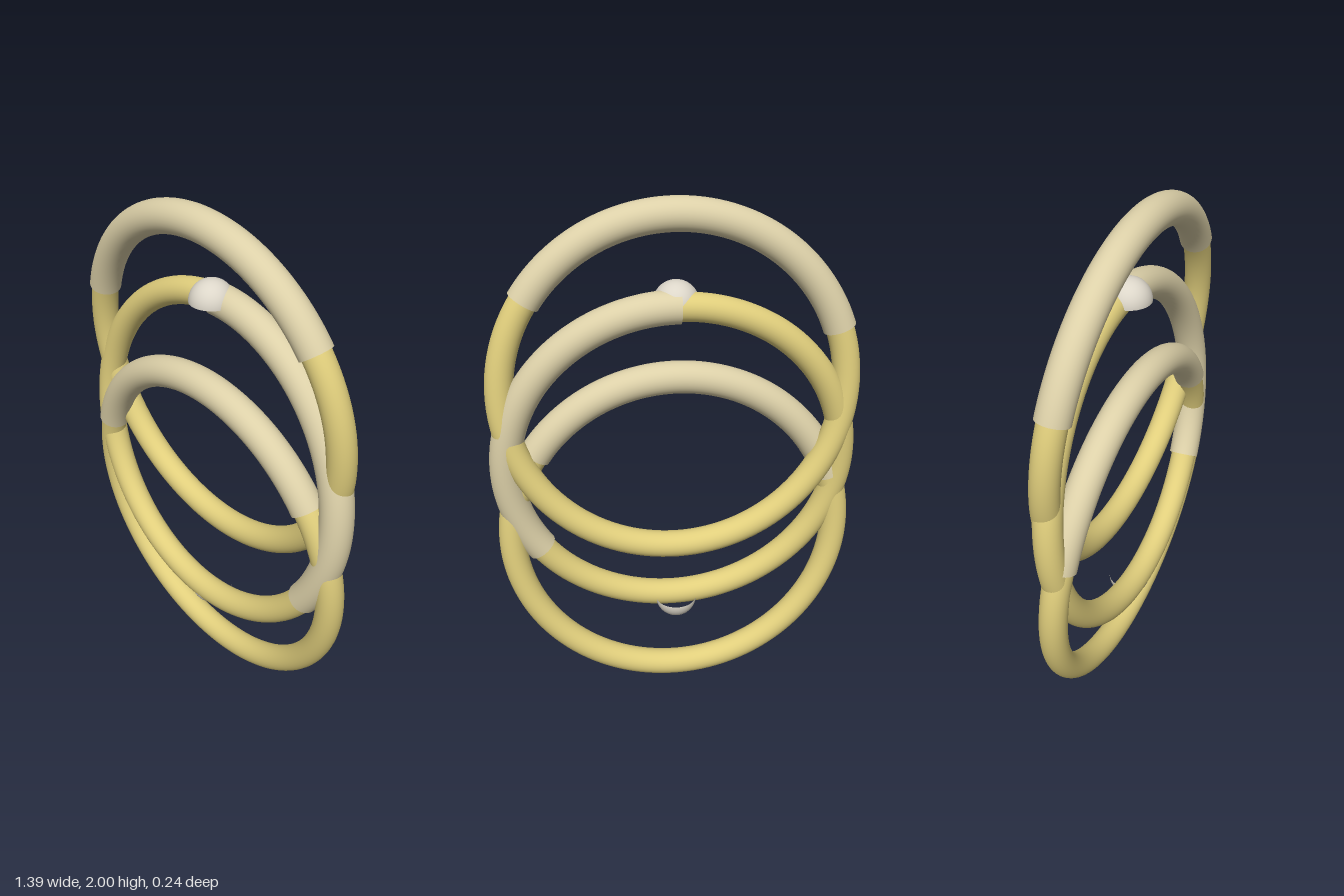
import * as THREE from 'three';

const RING_RADIUS = 0.64;
const TUBE = 0.052;
const SLEEVE = 0.061;
const BEAD = 0.083;

export function createModel() {
  const model = new THREE.Group();
  model.name = 'interlockedRings';

  const gold = new THREE.MeshStandardMaterial({ color: 0xe0ce7c });
  gold.name = 'gold';
  const cream = new THREE.MeshStandardMaterial({ color: 0xdcd0a8 });
  cream.name = 'cream';
  const pearl = new THREE.MeshStandardMaterial({ color: 0xdcd6c9 });
  pearl.name = 'pearl';

  const add = (parent, name, geometry, material) => {
    const mesh = new THREE.Mesh(geometry, material);
    mesh.name = name;
    parent.add(mesh);
    return mesh;
  };

  // Each ring is a thin hoop with a thicker sleeve over part of it
  const rings = [
    { name: 'upperRing', y: 1.302, tilt: 0.098, from: 34, to: 161 },
    { name: 'middleRing', y: 1.0, tilt: -0.05, from: -34.3, to: 91.2 },
    { name: 'lowerRing', y: 0.693, tilt: 0.081, from: 34, to: 161 },
  ];
  for (const { name, y, tilt, from, to } of rings) {
    const ring = new THREE.Group();
    ring.name = name;
    ring.position.set(-0.005, y, -0.005);
    ring.rotation.x = tilt;
    add(ring, 'hoop', new THREE.TorusGeometry(RING_RADIUS, TUBE, 32, 128), gold);
    const arc = THREE.MathUtils.degToRad(to - from);
    const sleeve = add(ring, 'sleeve', new THREE.TorusGeometry(RING_RADIUS, SLEEVE, 32, 64, arc), cream);
    sleeve.rotation.z = THREE.MathUtils.degToRad(from);
    model.add(ring);
  }

  // Half-round beads above and below the middle ring
  const dome = new THREE.SphereGeometry(BEAD, 40, 20, 0, Math.PI * 2, 0, Math.PI / 2);
  for (const [name, y, turn] of [['topBead', 1.641, 0], ['bottomBead', 0.361, Math.PI]]) {
    const bead = add(model, name, dome, pearl);
    bead.position.set(-0.006, y, -0.005);
    bead.rotation.x = turn;
  }

  return model;
}
